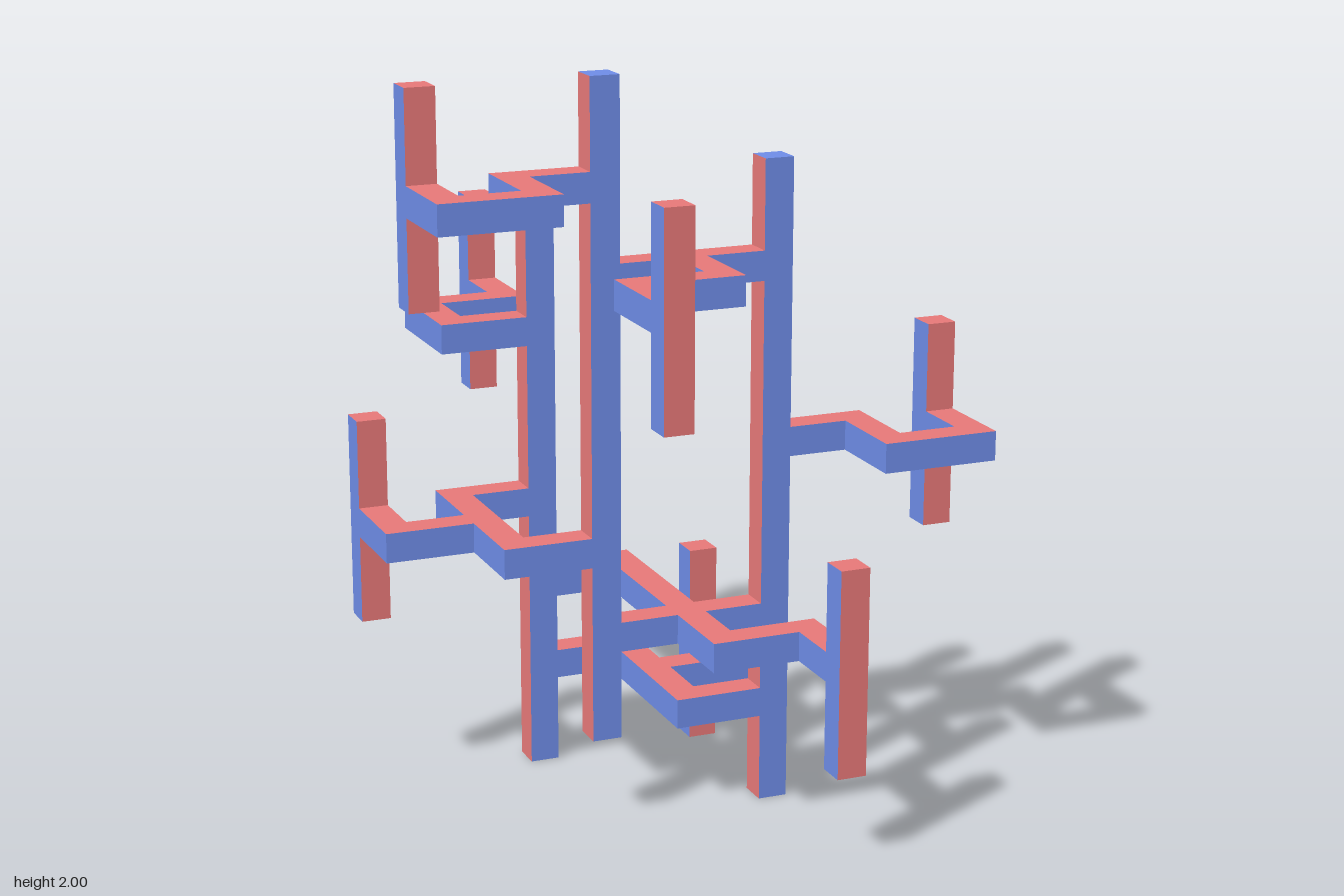
import * as THREE from 'three';

const U = 0.24;   // grid pitch
const W = 0.08;   // bar thickness
const H = W / 2;

const red = new THREE.MeshStandardMaterial({ color: 0xe67878 });
const blue = new THREE.MeshStandardMaterial({ color: 0x6e8ce6 });

// colour of the x, y and z faces of each kind of bar
const finish = (x, y, z) => [x, x, y, y, z, z];
const columnFinish = finish(red, blue, blue);
const postFinish = finish(blue, red, red);
const linkFinish = finish(blue, red, blue);

// Box spanning two opposite corners
function box(name, materials, a, b) {
  const lo = a.map((v, i) => Math.min(v, b[i]));
  const hi = a.map((v, i) => Math.max(v, b[i]));
  const mesh = new THREE.Mesh(
    new THREE.BoxGeometry(hi[0] - lo[0], hi[1] - lo[1], hi[2] - lo[2]), materials);
  mesh.position.set((lo[0] + hi[0]) / 2, (lo[1] + hi[1]) / 2, (lo[2] + hi[2]) / 2);
  mesh.name = name;
  return mesh;
}

// Upright bar at a grid point
function upright(name, materials, [gx, gz], y0, y1) {
  return box(name, materials, [gx * U - H, y0, gz * U - H], [gx * U + H, y1, gz * U + H]);
}

// Level bar along a grid path: it fills each corner and butts against whatever is at both ends
function link(path, y) {
  const group = new THREE.Group();
  group.name = 'link';
  for (let i = 0; i < path.length - 1; i++) {
    const [ax, az] = path[i], [bx, bz] = path[i + 1];
    const dx = Math.sign(bx - ax), dz = Math.sign(bz - az);
    const end = i === path.length - 2 ? -H : H;
    const sx = Math.abs(dz) * H, sz = Math.abs(dx) * H;   // half width across the run
    group.add(box('linkBar', linkFinish,
      [ax * U + dx * H - sx, y - H, az * U + dz * H - sz],
      [bx * U + dx * end + sx, y + H, bz * U + dz * end + sz]));
  }
  return group;
}

// Three tall columns: grid point, bottom, top
const columns = [
  [[1, 1], 0, 1.76],
  [[-1, 1], 0.24, 2],
  [[-1, -1], 0, 1.52],
];

// Seven levels from the bottom up; the first path of each starts at its short post
const levels = [
  [[[1, -1], [1, 0], [0, 0]], [[1, 1], [0, 1], [0, -1], [-1, -1]]],
  [[[1, 3], [1, 2], [0, 2], [0, 1]], [[1, 1], [-1, 1]], [[-1, -1], [0, -1], [0, 1]]],
  [[[-3, -1], [-3, 0], [-2, 0]], [[-1, 1], [-2, 1], [-2, -1], [-1, -1]]],
  [[[3, 1], [3, 2], [2, 2], [2, 1], [1, 1]]],
  [[[-1, -3], [-1, -2], [-2, -2], [-2, -1], [-1, -1]]],
  [[[-1, 3], [-1, 2], [0, 2], [0, 1]], [[1, 1], [-1, 1]]],
  [[[-3, 1], [-3, 2], [-2, 2], [-2, 1], [-1, 1]]],
];

export function createModel() {
  const model = new THREE.Group();
  model.name = 'latticeSculpture';

  for (const [point, y0, y1] of columns) {
    model.add(upright('column', columnFinish, point, y0, y1));
  }

  levels.forEach((paths, i) => {
    const y = 0.28 + i * U;
    const level = new THREE.Group();
    level.name = 'level' + (i + 1);
    level.add(upright('post', postFinish, paths[0][0], y - 0.28, y + 0.28));
    for (const path of paths) level.add(link(path, y));
    model.add(level);
  });

  return model;
}
